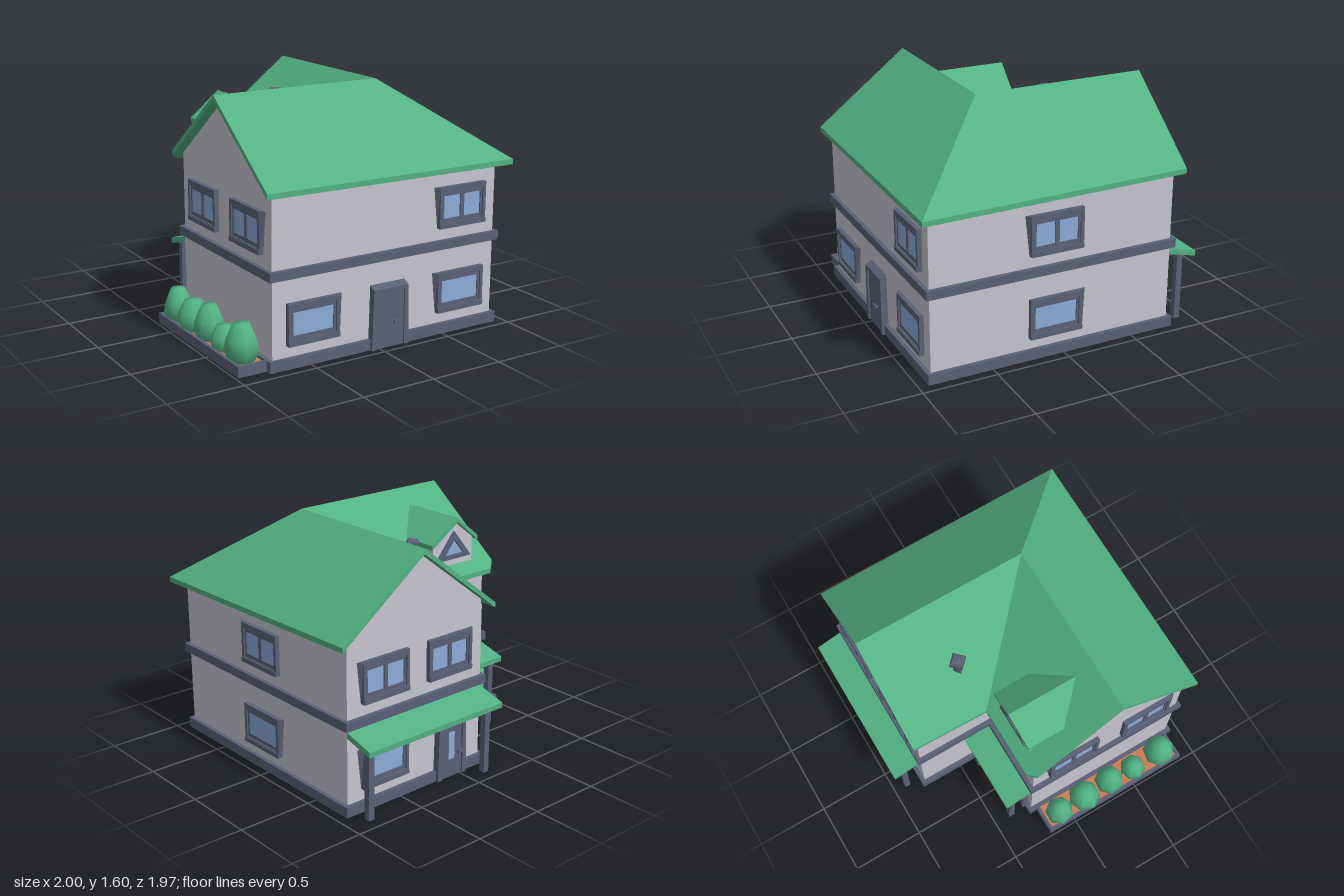
import * as THREE from 'three';

const mat = (name, color) => {
  const m = new THREE.MeshStandardMaterial({ color });
  m.name = name;
  return m;
};

export function createModel() {
  const wall = mat('pale wall', 0xc6c5cf), slate = mat('slate trim', 0x5b6077);
  const green = mat('green', 0x52b284), glass = mat('window glass', 0x8dabd8);
  const soil = mat('soil', 0xc87a55);

  const house = new THREE.Group();
  house.name = 'house';

  const add = (parent, name, geo, m, x = 0, y = 0, z = 0) => {
    const mesh = new THREE.Mesh(geo, m);
    mesh.name = name;
    mesh.position.set(x, y, z);
    parent.add(mesh);
    return mesh;
  };
  const box = (parent, name, w, h, d, m, x, y, z) =>
    add(parent, name, new THREE.BoxGeometry(w, h, d), m, x, y, z);
  const poly = (pts) => new THREE.Shape(pts.map(([x, y]) => new THREE.Vector2(x, y)));
  const rect = (w, h, x = 0, y = 0) => [
    [x - w / 2, y - h / 2], [x + w / 2, y - h / 2], [x + w / 2, y + h / 2], [x - w / 2, y + h / 2]];
  const extrude = (pts, depth, holes = []) => {
    const s = poly(pts);
    holes.forEach((h) => s.holes.push(poly(h)));
    return new THREE.ExtrudeGeometry(s, { depth, bevelEnabled: false });
  };
  const bend = (geo, rule) => {
    const p = geo.attributes.position, v = new THREE.Vector3();
    for (let i = 0; i < p.count; i++) {
      rule(v.fromBufferAttribute(p, i));
      p.setXYZ(i, v.x, v.y, v.z);
    }
    geo.computeVertexNormals();
    return geo;
  };

  // L-shaped storeys: o widens the outline
  const storey = (name, o, y, h, m) => {
    const plan = [[-0.76 - o, 0.91 + o], [0.91 + o, 0.91 + o], [0.91 + o, -0.78 - o],
      [-0.2 - o, -0.78 - o], [-0.2 - o, -0.23 - o], [-0.76 - o, -0.23 - o]];
    const geo = extrude(plan.map(([x, z]) => [x, -z]), h);
    add(house, name, geo.rotateX(-Math.PI / 2), m, 0, y, 0);
  };
  storey('walls', 0, 0.01, 1.1, wall);
  storey('foundation', 0.027, 0, 0.07, slate);
  storey('beltCourse', 0.027, 0.57, 0.06, slate);

  // Gable ends
  const gable = (half) => [[-half, 1.05], [half, 1.05], [half, 1.57 - half * 0.766], [0, 1.57], [-half, 1.57 - half * 0.766]];
  add(house, 'backGable', extrude(gable(0.55), 1.05), wall, 0.36, 0, -0.78);
  add(house, 'sideGable', extrude(gable(0.57), 1.05).rotateY(Math.PI / 2), wall, -0.76, 0, 0.34);

  // Folded slab: convex top faces, their copies below, and a rim between
  const slab = (name, pts, faces, rim, t) => {
    const pos = [];
    const tri = (...c) => c.forEach(([i, low]) => pos.push(pts[i][0], pts[i][1] - (low ? t : 0), pts[i][2]));
    faces.forEach((f) => {
      for (let k = 1; k < f.length - 1; k++) {
        tri([f[0]], [f[k]], [f[k + 1]]);
        tri([f[0], 1], [f[k + 1], 1], [f[k], 1]);
      }
    });
    rim.forEach((a, k) => {
      const b = rim[(k + 1) % rim.length];
      tri([a], [a, 1], [b, 1]);
      tri([a], [b, 1], [b]);
    });
    const geo = new THREE.BufferGeometry();
    geo.setAttribute('position', new THREE.Float32BufferAttribute(pos, 3));
    geo.computeVertexNormals();
    add(house, name, geo, green);
  };

  // Main roof: hip at the front corner, valley in the inner corner
  slab('mainRoof', [
    [0.36, 1.6, 0.34], [1, 1.11, 0.98], [-0.83, 1.6, 0.34], [-0.82, 1.12, 0.967],
    [-0.83, 1.148, -0.25], [-0.77, 1.11, -0.3], [-0.28, 1.11, -0.3],
    [0.36, 1.6, -0.845], [-0.27, 1.118, -0.83], [0.98, 1.125, -0.83],
  ], [[2, 3, 1, 0], [0, 1, 9, 7], [7, 8, 6, 0], [0, 6, 5, 4, 2]], [2, 3, 1, 9, 7, 8, 6, 5, 4], 0.035);

  // Dormer
  const dx = -0.485;
  slab('dormerRoof', [
    [dx, 1.51, -0.26], [dx - 0.21, 1.35, -0.24], [dx - 0.21, 1.35, 0.02],
    [dx, 1.51, 0.22], [dx + 0.21, 1.35, 0.02], [dx + 0.21, 1.35, -0.24],
  ], [[0, 1, 2, 3], [0, 3, 4, 5]], [0, 1, 2, 3, 4, 5], 0.03);
  add(house, 'dormerWall', extrude([[-0.18, 1.14], [0.18, 1.14], [0.18, 1.35], [0, 1.487], [-0.18, 1.35]], 0.3), wall, dx, 0, -0.215);
  const triangle = (s) => [[-0.155 * s, -0.065 * s], [0.155 * s, -0.065 * s], [0, 0.125 * s]];
  const dormerWindow = new THREE.Group();
  dormerWindow.name = 'dormerWindow';
  dormerWindow.position.set(dx, 1.285, -0.215);
  dormerWindow.rotation.y = Math.PI;
  add(dormerWindow, 'frame', extrude(triangle(1), 0.018, [triangle(0.55)]), slate);
  add(dormerWindow, 'pane', extrude(triangle(0.6), 0.006), glass);
  house.add(dormerWindow);

  // Roof vent
  add(house, 'ventPipe', new THREE.CylinderGeometry(0.035, 0.035, 0.16, 4), slate, -0.005, 1.34, -0.34);
  const cap = new THREE.LatheGeometry([[0.001, -0.04], [0.04, -0.04], [0.06, -0.015], [0.06, 0.015], [0.045, 0.035], [0.001, 0.04]]
    .map(([x, y]) => new THREE.Vector2(x, y)), 4).toNonIndexed();
  cap.computeVertexNormals();
  add(house, 'ventCap', cap, slate, -0.005, 1.435, -0.34);

  // Openings face outward along local +z
  const opening = (name, x, y, z, turn) => {
    const g = new THREE.Group();
    g.name = name;
    g.position.set(x, y, z);
    g.rotation.y = turn * Math.PI / 2;
    house.add(g);
    return g;
  };
  // Windows: the frame flares towards the wall at one upper corner
  const addWindow = (x, y, z, turn, panes, flare) => {
    const g = opening('window', x, y, z, turn);
    const frame = extrude(rect(0.365, 0.27), 0.03, [rect(0.32, 0.2)]);
    add(g, 'frame', bend(frame, (v) => {
      if (v.z < 0.01 && v.x * flare > 0.17) v.x += flare * 0.03 * (v.y / 0.27 + 0.5);
    }), slate);
    const holes = panes === 2 ? [rect(0.13, 0.15, -0.08), rect(0.13, 0.15, 0.08)] : [rect(0.29, 0.15)];
    add(g, 'sash', extrude(rect(0.33, 0.21), 0.02, holes), slate);
    box(g, 'pane', 0.31, 0.17, 0.008, glass, 0, 0, 0.008);
    box(g, 'sill', 0.365, 0.03, 0.036, slate, 0, -0.12, 0.018);
  };
  const up = 0.845, low = 0.28;
  [
    [0.637, up, 0.91, 0, 2, -1], [0.637, low, 0.91, 0, 1, -1], [-0.48, low, 0.91, 0, 1, 1],
    [0.91, up, 0.06, 1, 2, -1], [0.91, low, 0.06, 1, 1, 1],
    [0.62, up, -0.78, 2, 2, -1], [0.09, up, -0.78, 2, 2, 1], [0.62, low, -0.78, 2, 1, -1],
    [-0.76, up, 0.07, 3, 2, -1], [-0.76, up, 0.63, 3, 2, 1],
  ].forEach((w) => addWindow(...w));

  // Doors: glazing is [width, height, x, y]
  const addDoor = (name, x, z, turn, w, handle, glazing) => {
    const g = opening(name, x, 0, z, turn);
    const a = w / 2, b = a - 0.035, h = 0.42;
    const frame = extrude([[-a, 0], [-b, 0], [-b, h - 0.05], [b, h - 0.05], [b, 0], [a, 0], [a - 0.01, h], [0.01 - a, h]], 0.045);
    add(g, 'frame', bend(frame, (v) => {
      if (v.z > 0.01 && v.y > h - 0.01) v.y -= 0.025;
    }), slate);
    box(g, 'leaf', w - 0.06, h - 0.04, 0.034, slate, 0, (h - 0.04) / 2, 0.017);
    if (glazing) box(g, 'pane', glazing[0], glazing[1], 0.006, glass, glazing[2], glazing[3], 0.034);
    box(g, 'handle', 0.045, 0.02, 0.012, slate, handle[0], handle[1], 0.055);
    box(g, 'handleStem', 0.012, 0.014, 0.03, slate, handle[0] + 0.012, handle[1], 0.043);
  };
  addDoor('frontDoor', 0.075, 0.91, 0, 0.28, [0.042, 0.17]);
  addDoor('backDoor', 0.075, -0.78, 2, 0.25, [0.06, 0.17], [0.05, 0.19, 0, 0.22]);
  addDoor('wideDoor', -0.5, -0.23, 2, 0.44, [0, 0.1], [0.21, 0.05, -0.01, 0.32]);

  // Porches: sloping roof slab on two posts
  const addPorch = (x0, x1, z, posts, postZ) => {
    const roof = extrude([[0, 0.515], [0.205, 0.462], [0.207, 0.498], [0, 0.555]], x1 - x0);
    roof.rotateY(Math.PI / 2);
    add(house, 'porchRoof', roof, green, x0, 0, z);
    posts.forEach((x) => box(house, 'porchPost', 0.042, 0.495, 0.042, slate, x, 0.2475, postZ));
  };
  addPorch(-0.2, 0.91, -0.78, [-0.14, 0.84], -0.9);
  addPorch(-0.765, -0.2, -0.23, [-0.71, -0.27], -0.37);

  // Planter with soil and a row of bushes
  const kerb = extrude(rect(0.22, 1.09), 0.07, [rect(0.175, 1.045)]).rotateX(-Math.PI / 2);
  add(house, 'planterKerb', kerb, slate, -0.872, 0, 0.345);
  box(house, 'planterSoil', 0.18, 0.05, 1.05, soil, -0.872, 0.027, 0.345);
  const bushProfile = [[0.001, 0], [0.6, 0], [1, 0.36], [0.88, 0.62], [0.5, 1], [0.001, 1]];
  [[-0.895, -0.08, 0.1, 0.26], [-0.89, 0.13, 0.113, 0.24], [-0.885, 0.34, 0.105, 0.27],
    [-0.888, 0.54, 0.092, 0.2], [-0.885, 0.76, 0.113, 0.28]].forEach(([x, z, r, h], i) => {
    const geo = new THREE.LatheGeometry(bushProfile.map(([a, b]) => new THREE.Vector2(a * r, b * (h - 0.02))), 7);
    add(house, 'bush', geo, green, x, 0.025, z).rotation.y = i * 1.3;
  });

  return house;
}
